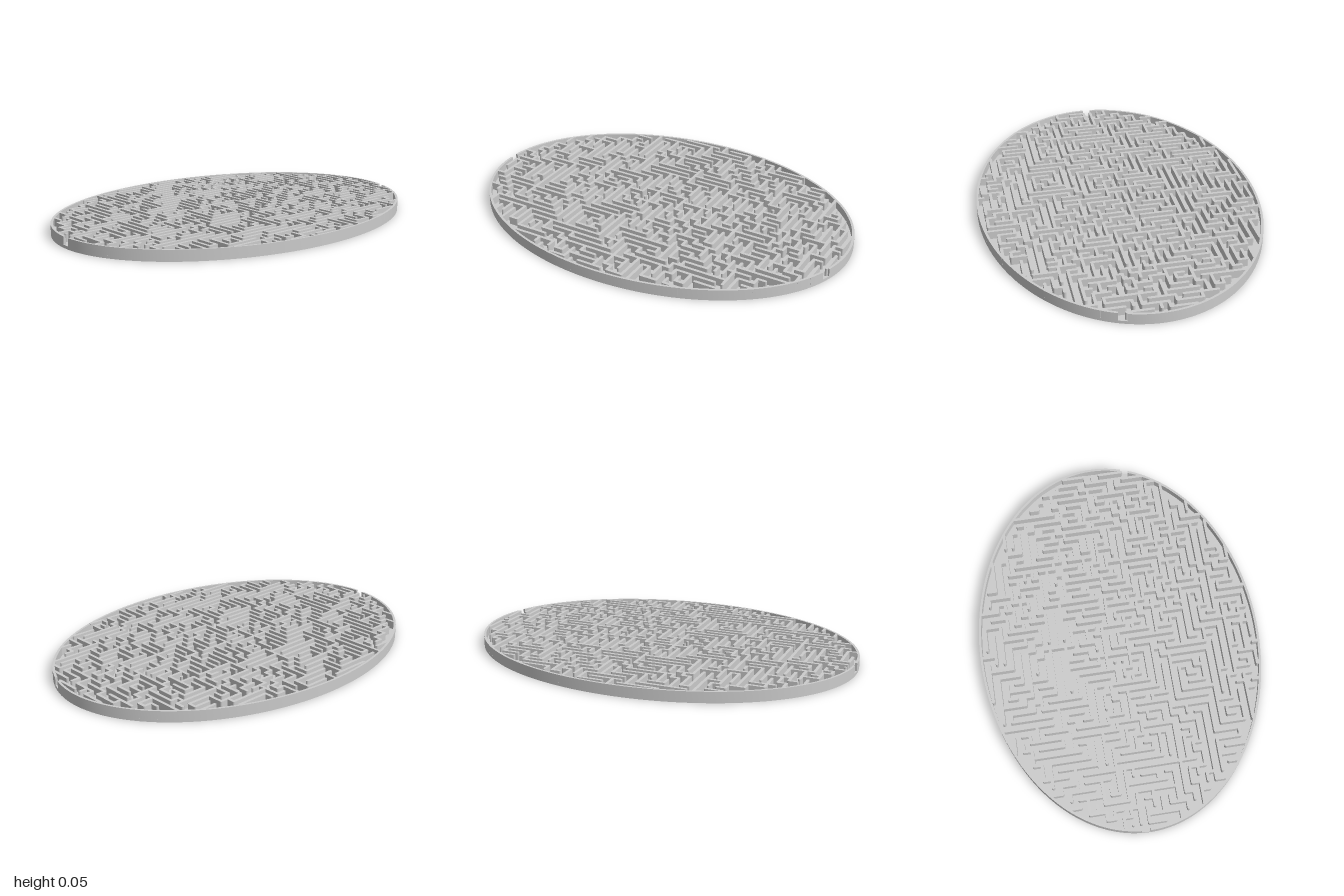
import * as THREE from 'three';
import { mergeGeometries, toCreasedNormals } from 'three/addons/utils/BufferGeometryUtils.js';

const A = 0.72, B = 1;               // half width (x) and half length (z) of the oval
const FLOOR = 0.015, TOP = 0.055;    // floor height and wall top
const PITCH = 0.04, WALL = 0.015, RIM = 0.012;
const NX = 18, NZ = 25;              // cells on each side of the centre

function seeded(seed) {
  return () => {
    seed = (seed * 1664525 + 1013904223) >>> 0;
    return seed / 4294967296;
  };
}

// Cell (i, j) spans one pitch from (i, j) * PITCH
function inside(i, j) {
  const x = (i + 0.5) * PITCH / A, z = (j + 0.5) * PITCH / B;
  return x * x + z * z < 0.985;
}

// Edge between two neighbouring cells
const edgeKey = (i, j, k, l) => `${i + k},${j + l}`;

// Depth-first maze; returns the set of opened edges
function carveMaze() {
  const rand = seeded(41), open = new Set(), seen = new Set(['0,0']);
  const dirs = [[1, 0], [-1, 0], [0, 1], [0, -1]];
  const stack = [[0, 0, 0]];
  while (stack.length) {
    const [i, j, last] = stack[stack.length - 1];
    const free = [0, 1, 2, 3].filter((d) => {
      const k = i + dirs[d][0], l = j + dirs[d][1];
      return inside(k, l) && !seen.has(`${k},${l}`);
    });
    if (!free.length) { stack.pop(); continue; }
    const straight = free.includes(last) && rand() < 0.25;
    const d = straight ? last : free[Math.floor(rand() * free.length)];
    const k = i + dirs[d][0], l = j + dirs[d][1];
    open.add(edgeKey(i, j, k, l));
    seen.add(`${k},${l}`);
    stack.push([k, l, d]);
  }
  return open;
}

// Lattice points that stand free as round posts
const posts = [[-1, 3], [0, 3], [-5, -13], [-2, 24]];

function openAroundPosts(open) {
  for (const [i, j] of posts) {
    open.add(edgeKey(i - 1, j - 1, i, j - 1));
    open.add(edgeKey(i - 1, j, i, j));
    open.add(edgeKey(i - 1, j - 1, i - 1, j));
    open.add(edgeKey(i, j - 1, i, j));
  }
  // Walls of the middle room, with one doorway
  for (const i of [-2, -1, 0]) {
    open.delete(edgeKey(i, 1, i, 2));
    if (i !== -1) open.delete(edgeKey(i, 3, i, 4));
    else open.add(edgeKey(i, 3, i, 4));
  }
  for (const j of [2, 3]) {
    open.delete(edgeKey(-3, j, -2, j));
    open.delete(edgeKey(0, j, 1, j));
  }
}

const H = TOP - FLOOR, MID = (TOP + FLOOR) / 2;

function post(x, z) {
  return new THREE.CylinderGeometry(WALL / 2, WALL / 2, H, 12).translate(x, MID, z);
}

// Straight walls with round ends, gathered along every grid line
function wallGeometry(open) {
  const parts = [];
  for (const alongZ of [true, false]) {
    const lines = alongZ ? NX : NZ, steps = alongZ ? NZ : NX;
    const pair = (n, s) => (alongZ ? [n - 1, s, n, s] : [s, n - 1, s, n]);
    for (let n = -lines + 1; n < lines; n++) {
      const within = (s) => {
        const [i, j, k, l] = pair(n, s);
        return inside(i, j) && inside(k, l);
      };
      const closed = (s) => within(s) && !open.has(edgeKey(...pair(n, s)));
      // Distance along the line to the inner face of the rim
      const c = n * PITCH;
      const across = c / ((alongZ ? A : B) - RIM / 2);
      const reach = ((alongZ ? B : A) - RIM / 2) * Math.sqrt(Math.max(0, 1 - across * across));
      for (let s = -steps; s < steps; s++) {
        if (!closed(s)) continue;
        let a = s;
        while (closed(s + 1)) s++;
        let b = s + 1;
        if (!within(a - 1)) a--;
        if (!within(b)) b++;
        const p = Math.max(a * PITCH, -reach), q = Math.min(b * PITCH, reach);
        if (q - p < 0.005) continue;
        const m = (p + q) / 2;
        const box = alongZ
          ? new THREE.BoxGeometry(WALL, H, q - p).translate(c, MID, m)
          : new THREE.BoxGeometry(q - p, H, WALL).translate(m, MID, c);
        parts.push(box);
        for (const e of [p, q]) {
          if (Math.abs(e) > reach - 0.012) continue;
          parts.push(alongZ ? post(c, e) : post(e, c));
        }
      }
    }
  }
  return mergeGeometries(parts);
}

// Part of the oval rim from angle t0 to t1
function rimGeometry(t0, t1) {
  const N = 96, pts = [];
  for (let k = 0; k <= N; k++) {
    const t = t0 + (t1 - t0) * k / N;
    pts.push(new THREE.Vector2(A * Math.cos(t), B * Math.sin(t)));
  }
  for (let k = N; k >= 0; k--) {
    const t = t0 + (t1 - t0) * k / N;
    pts.push(new THREE.Vector2((A - RIM) * Math.cos(t), (B - RIM) * Math.sin(t)));
  }
  const geo = new THREE.ExtrudeGeometry(new THREE.Shape(pts), { depth: H, bevelEnabled: false });
  geo.rotateX(-Math.PI / 2).translate(0, FLOOR, 0);
  return toCreasedNormals(geo, 0.6);
}

export function createModel() {
  const group = new THREE.Group();
  group.name = 'ovalMaze';
  const material = new THREE.MeshStandardMaterial({ color: 0xcccccc });
  const add = (name, geometry) => {
    const mesh = new THREE.Mesh(geometry, material);
    mesh.name = name;
    group.add(mesh);
  };

  // Floor plate
  const plate = new THREE.CylinderGeometry(1, 1, FLOOR, 192);
  add('floorPlate', plate.scale(A, 1, B).translate(0, FLOOR / 2, 0));

  // Rim in two halves, leaving an entrance at the front and an exit at the back
  const angle = (x) => Math.acos(x / A);
  add('rimRight', rimGeometry(angle(0.16), 2 * Math.PI - angle(-0.044)));
  add('rimLeft', rimGeometry(-angle(-0.003), angle(0.2)));

  // Maze walls and free posts
  const open = carveMaze();
  openAroundPosts(open);
  add('mazeWalls', wallGeometry(open));
  add('posts', mergeGeometries(posts.map(([i, j]) => post(i * PITCH, j * PITCH))));

  return group;
}
